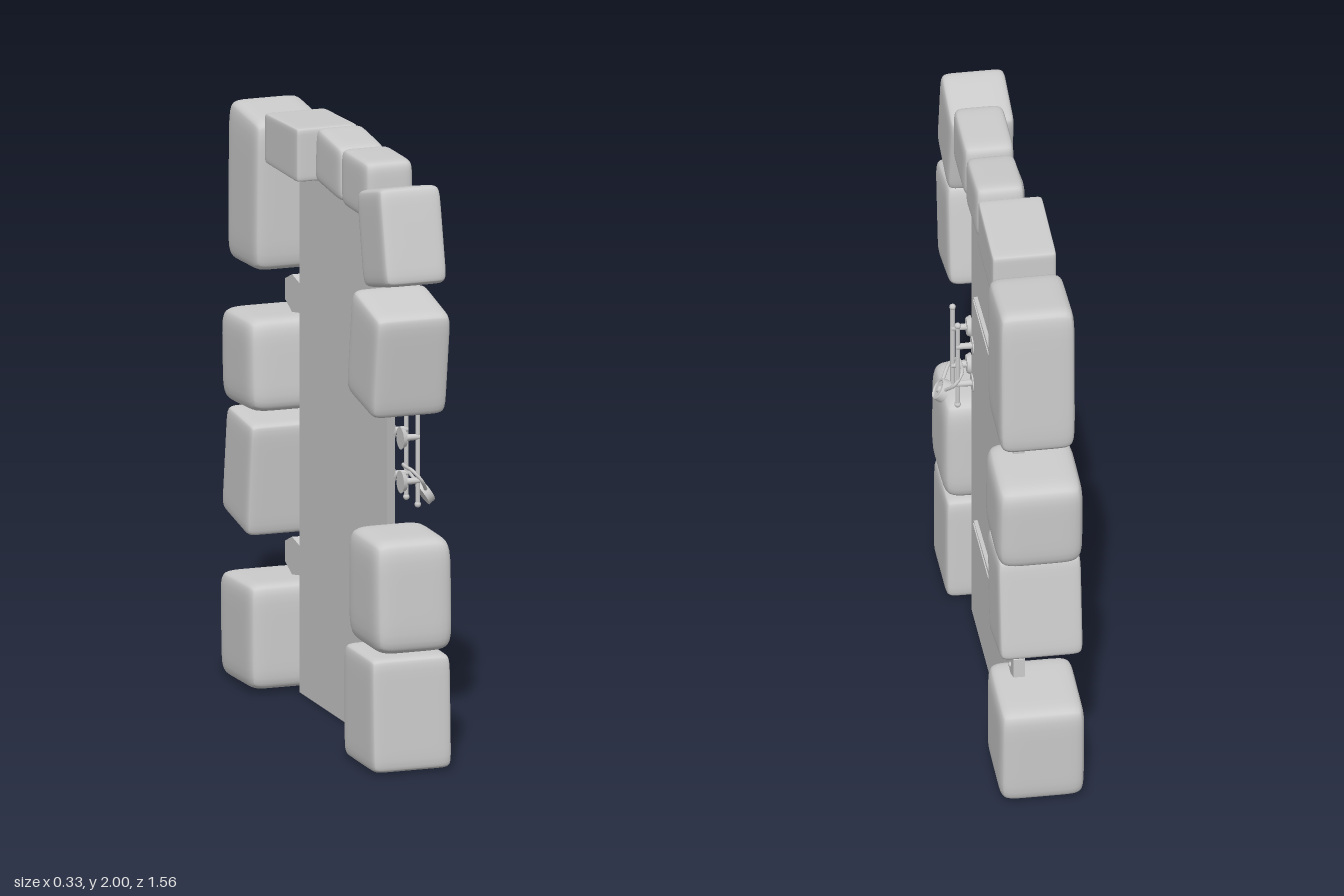
import * as THREE from 'three';
import { mergeVertices } from 'three/addons/utils/BufferGeometryUtils.js';

const mat = new THREE.MeshStandardMaterial({ color: 0xcccccc });

function add(parent, name, geo, x = 0, y = 0, z = 0) {
  const m = new THREE.Mesh(geo, mat);
  m.name = name;
  m.position.set(x, y, z);
  parent.add(m);
  return m;
}

// Rounded stone: a cube softened to a superellipsoid, then fitted to four
// (z, y) corners: lower +z, lower -z, upper -z, upper +z.
function stoneGeometry([a, b, c, d], x0, x1, power) {
  let g = new THREE.BoxGeometry(2, 2, 2, 14, 14, 14);
  g.deleteAttribute('uv');
  g.deleteAttribute('normal');
  g = mergeVertices(g, 1e-4);
  const p = g.attributes.position;
  for (let i = 0; i < p.count; i++) {
    const q = [p.getX(i), p.getY(i), p.getZ(i)].map(t => Math.sin(t * Math.PI / 2));
    const n = Math.pow(q.reduce((s, t) => s + Math.pow(Math.abs(t), power), 0), 1 / power);
    const [u, v, w] = q.map(t => (t / n + 1) / 2);
    const mix = k => (1 - v) * (w * a[k] + (1 - w) * b[k]) + v * (w * d[k] + (1 - w) * c[k]);
    p.setXYZ(i, x0 + (x1 - x0) * u, mix(1), mix(0));
  }
  g.computeVertexNormals();
  return g;
}

// Plate outlined in (z, y) and given thickness along x
function plateGeometry(points, x0, x1) {
  const s = new THREE.Shape(points.map(([z, y]) => new THREE.Vector2(-z, y)));
  const g = new THREE.ExtrudeGeometry(s, { depth: x1 - x0, bevelEnabled: false });
  return g.rotateY(Math.PI / 2).translate(x0, 0, 0);
}

const mirrored = half => [...half, ...half.map(([z, y]) => [z, -y]).reverse()];

function hinge(y) {
  const g = new THREE.Group();
  g.name = 'hinge';
  g.position.y = y;
  const strap = mirrored([[0.27, 0.007], [-0.23, 0.03], [-0.325, 0.064], [-0.41, 0.05]]);
  const wing = mirrored([[-0.445, 0.048], [-0.53, 0.064], [-0.6, 0.035]]);
  add(g, 'hingeStrap', plateGeometry(strap, 0.035, 0.053));
  add(g, 'hingeWing', plateGeometry(wing, 0.015, 0.053));
  add(g, 'hingeRib', plateGeometry(mirrored([[0.26, 0.003], [-0.22, 0.008]]), 0.05, 0.057));
  add(g, 'hingeBarrel', new THREE.CylinderGeometry(0.017, 0.017, 0.12, 12), 0.04, 0, -0.428);
  for (const z of [-0.31, -0.36, -0.485, -0.535])
    for (const s of [-1, 1])
      add(g, 'rivet', new THREE.SphereGeometry(0.01, 10, 6), 0.052, s * 0.026, z);
  return g;
}

// Pull handle: bar with ball ends on two round rosettes
function handle(z) {
  const g = new THREE.Group();
  g.name = 'handle';
  g.position.z = z;
  add(g, 'handleBar', new THREE.CylinderGeometry(0.008, 0.008, 0.31, 10), 0.09, 0.995, 0);
  for (const y of [0.842, 1.155])
    add(g, 'barEnd', new THREE.SphereGeometry(0.011, 12, 8), 0.09, y, 0);
  for (const y of [0.923, 1.072]) {
    add(g, 'rosette', new THREE.CylinderGeometry(0.03, 0.038, 0.016, 20), 0.036, y, 0).rotation.z = -Math.PI / 2;
    add(g, 'handlePost', new THREE.CylinderGeometry(0.01, 0.012, 0.06, 10), 0.065, y, 0).rotation.z = -Math.PI / 2;
  }
  return g;
}

export function createModel() {
  const model = new THREE.Group();
  model.name = 'stoneDoorway';

  // Door leaf, with one edge chamfered on the latch side
  const leaf = new THREE.Shape([[-0.435, 0], [0.415, 0], [0.415, 0.04], [-0.405, 0.04]]
    .map(([z, x]) => new THREE.Vector2(x, z)));
  const leafGeo = new THREE.ExtrudeGeometry(leaf, { depth: 1.805, bevelEnabled: false });
  add(model, 'door', leafGeo.rotateX(-Math.PI / 2));

  // Surrounding stones: corners, x range, squareness
  const stones = [
    [[[0.765, 0.005], [0.46, 0.005], [0.46, 0.39], [0.75, 0.39]], -0.165, 0.115, 14],
    [[[0.765, 0.4], [0.445, 0.4], [0.44, 0.785], [0.75, 0.785]], -0.15, 0.125, 7],
    [[[0.735, 1.2], [0.465, 1.245], [0.52, 1.61], [0.79, 1.555]], -0.16, 0.105, 11],
    [[[0.75, 1.655], [0.505, 1.6], [0.435, 1.915], [0.675, 1.975]], -0.113, 0.105, 11],
    [[[0.435, 1.8], [0.165, 1.8], [0.165, 1.995], [0.43, 2.0]], -0.07, 0.1, 8],
    [[[0.16, 1.8], [-0.11, 1.82], [-0.09, 2.008], [0.155, 1.985]], -0.065, 0.1, 8],
    [[[-0.122, 1.81], [-0.445, 1.805], [-0.445, 1.975], [-0.122, 1.993]], -0.115, 0.1, 22],
    [[[-0.485, 1.42], [-0.78, 1.405], [-0.77, 1.955], [-0.47, 1.93]], -0.13, 0.125, 10],
    [[[-0.435, 0.95], [-0.76, 0.93], [-0.775, 1.25], [-0.455, 1.265]], -0.16, 0.13, 7],
    [[[-0.485, 0.52], [-0.745, 0.565], [-0.695, 0.93], [-0.44, 0.91]], -0.16, 0.12, 14],
    [[[-0.425, 0.01], [-0.75, 0], [-0.765, 0.355], [-0.43, 0.37]], -0.165, 0.12, 9],
  ];
  const surround = new THREE.Group();
  surround.name = 'stoneSurround';
  for (const [corners, x0, x1, power] of stones)
    add(surround, 'stone', stoneGeometry(corners, x0, x1, power));
  model.add(surround);

  model.add(hinge(1.33), hinge(0.437), handle(0.375), handle(0.487));

  // Hanging lock: curved shackle through both handles and a tilted round body
  const lock = new THREE.Group();
  lock.name = 'lock';
  const path = [[0.13, 0.88, 0.405], [0.1, 0.925, 0.368], [0.075, 0.955, 0.385], [0.07, 0.957, 0.431],
    [0.075, 0.955, 0.477], [0.1, 0.925, 0.494], [0.13, 0.88, 0.457]].map(p => new THREE.Vector3(...p));
  add(lock, 'shackle', new THREE.TubeGeometry(new THREE.CatmullRomCurve3(path), 40, 0.006, 8));
  const tilt = Math.atan2(-0.08, 0.05) + Math.PI;
  const body = new THREE.Group();
  body.name = 'lockBody';
  body.position.set(0.135, 0.865, 0.431);
  body.rotation.z = tilt + Math.PI;
  add(body, 'lockDisc', new THREE.CylinderGeometry(0.038, 0.04, 0.022, 24));
  add(body, 'lockRim', new THREE.TorusGeometry(0.033, 0.005, 8, 24), 0, 0.011).rotation.x = Math.PI / 2;
  add(body, 'keyhole', new THREE.CylinderGeometry(0.011, 0.013, 0.01, 12), 0, 0.014);
  model.add(lock);
  lock.add(body);

  return model;
}
